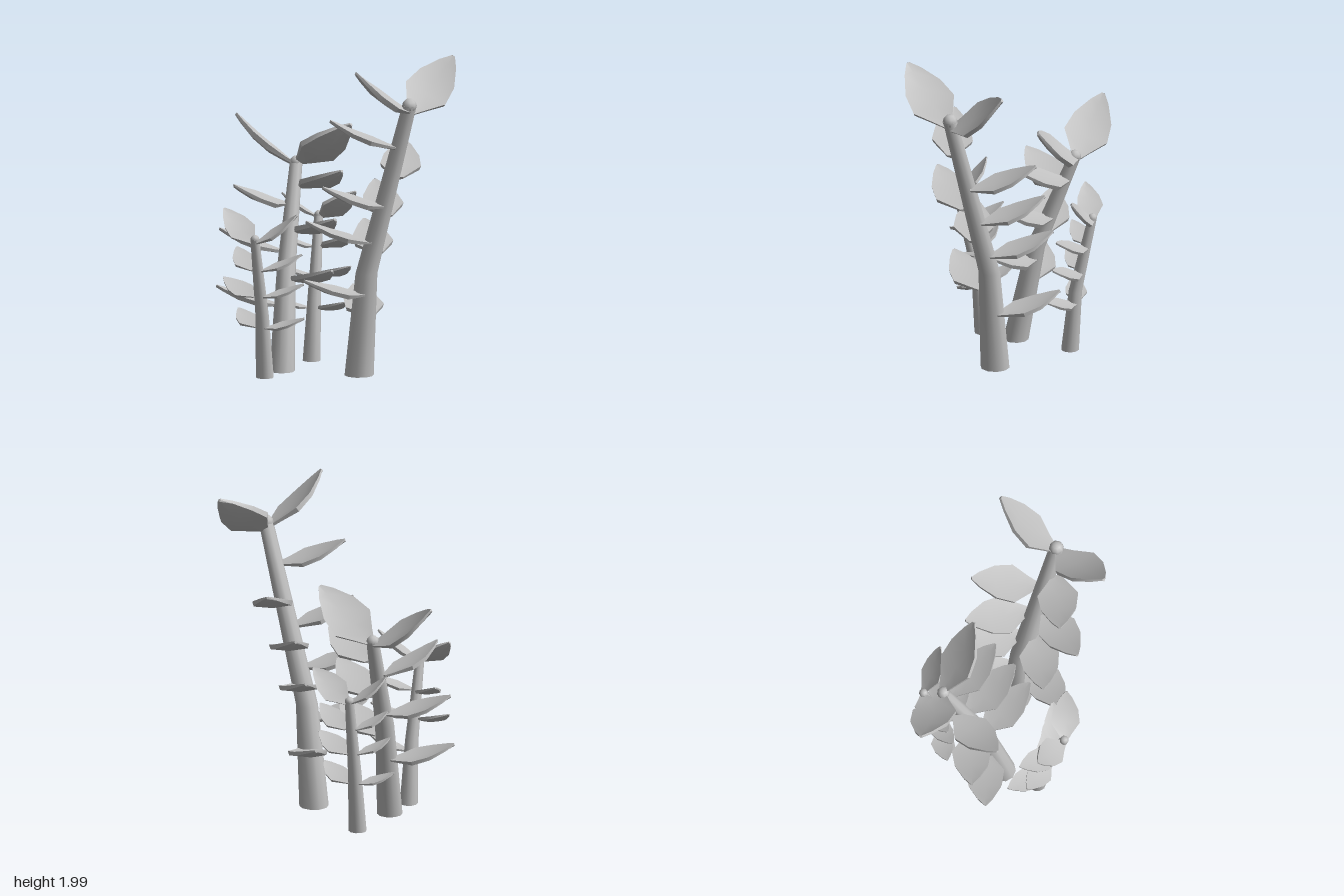
import * as THREE from 'three';
import { toCreasedNormals } from 'three/addons/utils/BufferGeometryUtils.js';

const V = (x, y, z) => new THREE.Vector3(x, y, z);
const heading = deg => V(Math.cos(deg * Math.PI / 180), 0, Math.sin(deg * Math.PI / 180));

// Skin a list of equal-sized rings and close both ends
function loft(rings, crease) {
  const n = rings[0].length, last = (rings.length - 1) * n, idx = [];
  for (let i = 0; i < last; i += n)
    for (let j = 0; j < n; j++) {
      const a = i + j, b = i + (j + 1) % n;
      idx.push(a, b, a + n, b, b + n, a + n);
    }
  for (let j = 1; j < n - 1; j++) idx.push(0, j + 1, j, last, last + j, last + j + 1);
  const g = new THREE.BufferGeometry().setFromPoints(rings.flat());
  g.setIndex(idx);
  return toCreasedNormals(g, crease);
}

// Stem centre at a given height
function stemAt(path, y) {
  const k = y < path[1].y ? 0 : 1, a = path[k], b = path[k + 1];
  return a.clone().lerp(b, (y - a.y) / (b.y - a.y));
}

// Ten-sided stem tapering to half its width
function stemGeometry(path, radius) {
  return loft(path.map((p, i) => Array.from({ length: 10 }, (_, j) =>
    heading(-36 * j).multiplyScalar(radius * (1 - i / 4)).add(p))), 0.8);
}

// Thick cupped leaf, broad near the base and pointed at the tip
const LEAF_WIDTH = [[0, 0.06], [0.13, 0.14], [0.35, 0.29], [0.62, 0.25], [0.87, 0.12], [1, 0.02]];

// The leaf blade stays square to its row's facing, whatever its own heading
function leafGeometry(base, tip, facing) {
  const dir = tip.clone().sub(base), len = dir.length();
  dir.normalize();
  const side = V(0, 1, 0).cross(heading(facing)).projectOnPlane(dir).normalize();
  const up = dir.clone().cross(side);
  return loft(LEAF_WIDTH.map(([t, w]) => {
    const sag = -0.06 * Math.sin(Math.PI * t), thick = 0.035 + 0.1 * w;
    const at = (s, h) => base.clone().addScaledVector(dir, t * len)
      .addScaledVector(side, s * w * len).addScaledVector(up, h * len);
    return [at(-1, sag + w * 0.12), at(-0.93, sag - thick * 0.5), at(0, sag - thick),
      at(0.93, sag - thick * 0.5), at(1, sag + w * 0.12), at(0, sag)];
  }), 0.35);
}

export function createModel() {
  const model = new THREE.Group();
  const grey = new THREE.MeshStandardMaterial({ color: 0xc0c0c0 });
  grey.name = 'plainGrey';

  // One leaning stem with rows of leaves; a row has a facing, reach, heights and headings
  function addPlant(name, radius, path, rows) {
    const plant = new THREE.Group();
    plant.name = name;
    model.add(plant);
    const add = (geometry, part) => {
      const mesh = new THREE.Mesh(geometry, grey);
      mesh.name = part;
      plant.add(mesh);
      return mesh;
    };
    add(stemGeometry(path, radius), 'stem');
    add(new THREE.SphereGeometry(radius * 0.51, 8, 6), 'bud').position.copy(path[2]);

    // Leaves sit on the outer side of the lean and the last pair rises steeply
    const lean = path[2].clone().sub(path[0]).setY(0).normalize();
    for (const { facing, reach, heights, headings } of rows)
      headings.forEach((deg, i) => {
        const k = i / (headings.length - 1), dir = heading(deg);
        const out = dir.clone().add(lean).normalize();
        const base = stemAt(path, heights[i]).addScaledVector(out, radius * (k === 1 ? 0.2 : 0.6));
        const tip = base.clone().addScaledVector(dir, reach);
        tip.y += reach * (k === 1 ? 0.72 : 0.3 + 0.15 * k);
        add(leafGeometry(base, tip, facing), 'leaf');
      });
  }

  addPlant('tallStem', 0.09, [V(0.14, 0.01, 0.11), V(0.18, 0.65, 0.15), V(0.41, 1.74, 0.42)], [
    { facing: 180, reach: 0.4, heights: [0.53, 0.86, 1.1, 1.48, 1.71], headings: [162, 187, 163, 190, 149] },
    { facing: -90, reach: 0.4, heights: [0.38, 0.78, 1.02, 1.27, 1.7], headings: [-98, -96, -95, -79, -42] },
  ]);
  addPlant('middleStem', 0.078, [V(-0.31, 0.01, -0.075), V(-0.27, 0.62, -0.19), V(-0.18, 1.24, -0.42)], [
    { facing: 90, reach: 0.39, heights: [0.56, 0.84, 1.1, 1.24], headings: [60, 61, 58, 42] },
    { facing: 180, reach: 0.39, heights: [0.4, 0.72, 1, 1.23], headings: [192, 192, 151, 212] },
  ]);

  // The two small stems carry leaves at the same heights
  const heights = [0.33, 0.53, 0.7, 0.88];
  addPlant('sideStem', 0.055, [V(-0.44, 0.01, 0.11), V(-0.46, 0.4, 0.14), V(-0.52, 0.9, 0.26)], [
    { facing: 0, reach: 0.25, heights, headings: [24, 14, 3, 15] },
    { facing: -90, reach: 0.25, heights, headings: [250, 227, 255, 231] },
  ]);
  addPlant('backStem', 0.055, [V(-0.09, 0.01, -0.38), V(-0.07, 0.4, -0.41), V(-0.03, 0.89, -0.51)], [
    { facing: 90, reach: 0.25, heights, headings: [56, 50, 55, 37] },
    { facing: 180, reach: 0.22, heights, headings: [178, 160, 158, 174] },
  ]);
  return model;
}
